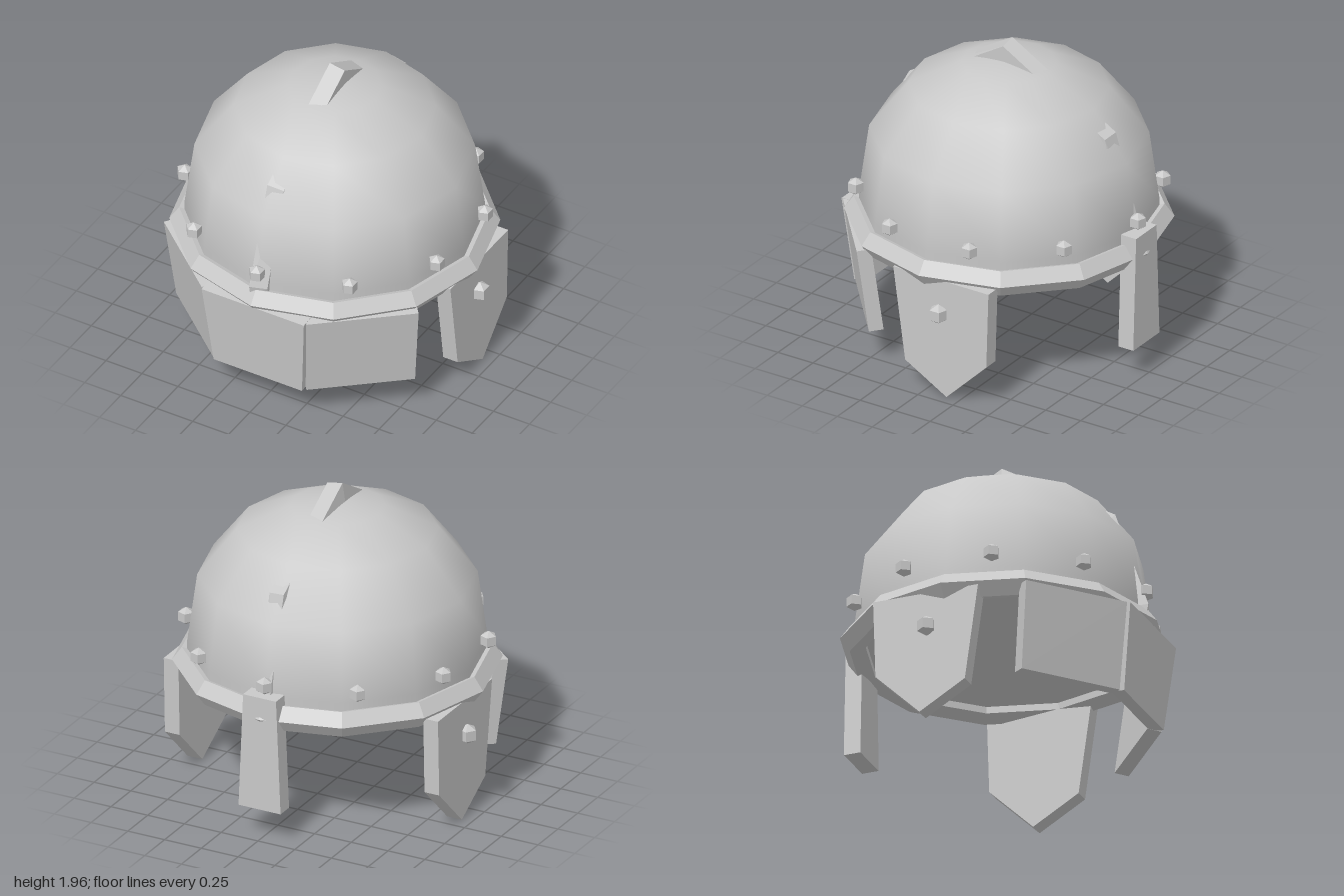
import * as THREE from 'three';
import { ConvexGeometry } from 'three/addons/geometries/ConvexGeometry.js';

const steel = new THREE.MeshStandardMaterial({ color: 0xc8c8c8 });
steel.name = 'steel grey';

const v = (x, y, z) => new THREE.Vector3(x, y, z);

function add(parent, name, geometry) {
  const mesh = new THREE.Mesh(geometry, steel);
  mesh.name = name;
  parent.add(mesh);
  return mesh;
}

// Faceted copy of a smooth geometry
function faceted(geometry) {
  const g = geometry.toNonIndexed();
  g.computeVertexNormals();
  return g;
}

// Solid plate between an outline and the same outline shifted by an offset
function plate(outline, offset) {
  return new ConvexGeometry([...outline, ...outline.map((p) => p.clone().add(offset))]);
}

function rivet(parent, name, radius, x, y, z) {
  add(parent, name, faceted(new THREE.SphereGeometry(radius, 5, 3))).position.set(x, y, z);
}

export function createModel() {
  const helmet = new THREE.Group();
  helmet.name = 'helmet';

  // Dome: twelve-sided, shaded as a smooth ball
  const profile = [[0.9, 0.79], [0.9, 0.92], [0.84, 1.36], [0.605, 1.66], [0.285, 1.81], [0, 1.85]];
  const domeGeometry = new THREE.LatheGeometry(profile.map(([r, y]) => new THREE.Vector2(r, y)), 12);
  const pos = domeGeometry.attributes.position;
  for (let i = 0; i < pos.count; i++) {
    const n = v(pos.getX(i), Math.max(0, pos.getY(i) - 0.92), pos.getZ(i)).normalize();
    domeGeometry.attributes.normal.setXYZ(i, n.x, n.y, n.z);
  }
  add(helmet, 'dome', domeGeometry);

  // Flat underside of the dome
  const underside = add(helmet, 'domeUnderside', new THREE.CircleGeometry(0.9, 12));
  underside.rotation.x = Math.PI / 2;
  underside.position.y = 0.79;

  // Rim with a five-sided section
  const rim = add(helmet, 'rim', faceted(new THREE.TorusGeometry(0.905, 0.086, 5, 12)));
  rim.rotation.x = Math.PI / 2;
  rim.position.y = 0.798;

  // Ring of rivets above the rim
  const rivets = new THREE.Group();
  rivets.name = 'rimRivets';
  helmet.add(rivets);
  for (let i = 0; i < 10; i++) {
    const a = (i / 10) * Math.PI * 2;
    rivet(rivets, 'rimRivet', 0.057, Math.sin(a) * 0.92, 0.996, Math.cos(a) * 0.92);
  }

  // Crest: mostly buried ridge whose corners break through the dome (z, y, height of its right edge)
  const crest = new THREE.Group();
  crest.name = 'crest';
  helmet.add(crest);
  const path = [
    [0.93, 0.8, 0.94], [0.95, 0.9, 0.957], [0.735, 1.527, 0.972], [0, 1.962, 0.984],
    [-0.74, 1.53, 0.984], [-0.92, 0.91, 0.95], [-0.9, 0.8, 0.94],
  ];
  const section = ([z, y, right]) =>
    [[-0.035, 1], [0.068, right], [0.068, 0.86], [-0.06, 0.86]].map(([x, s]) => v(x, 0.8 + (y - 0.8) * s, z * s));
  for (let i = 0; i < path.length - 1; i++) {
    add(crest, 'crestSegment', new ConvexGeometry([...section(path[i]), ...section(path[i + 1])]));
  }

  // Front guard: thick centre plate and two angled side plates
  add(helmet, 'frontGuardCentre', plate(
    [v(-0.355, 0.77, 0.967), v(0.355, 0.77, 0.967), v(0.307, 0.22, 0.907), v(-0.307, 0.22, 0.907)],
    v(0, 0.0095, -0.087)));
  for (const s of [1, -1]) {
    add(helmet, s > 0 ? 'frontGuardLeft' : 'frontGuardRight', plate(
      [v(s * 0.365, 0.77, 0.95), v(s * 0.885, 0.77, 0.513), v(s * 0.83, 0.22, 0.461), v(s * 0.325, 0.22, 0.885)],
      v(-s * 0.057, 0.0095, -0.068)));

    // Pointed cheek plate with its rivet
    const cheek = new THREE.Group();
    cheek.name = s > 0 ? 'leftCheekGuard' : 'rightCheekGuard';
    helmet.add(cheek);
    const outline = [[0.22, 0.775], [-0.46, 0.775], [-0.445, 0.28], [-0.16, 0], [0.135, 0.17]];
    add(cheek, 'cheekPlate', plate(outline.map(([z, y]) => v(s * 0.933, y, z)), v(-s * 0.1, 0, 0)));
    rivet(cheek, 'cheekRivet', 0.065, s * 0.945, 0.553, -0.11);
  }

  // Tapered bar at the back
  add(helmet, 'backBar', plate(
    [v(-0.112, 0.94, -0.98), v(0.112, 0.94, -0.98), v(0.143, 0.2, -0.98), v(-0.143, 0.2, -0.98)],
    v(0, 0, 0.107)));

  return helmet;
}
